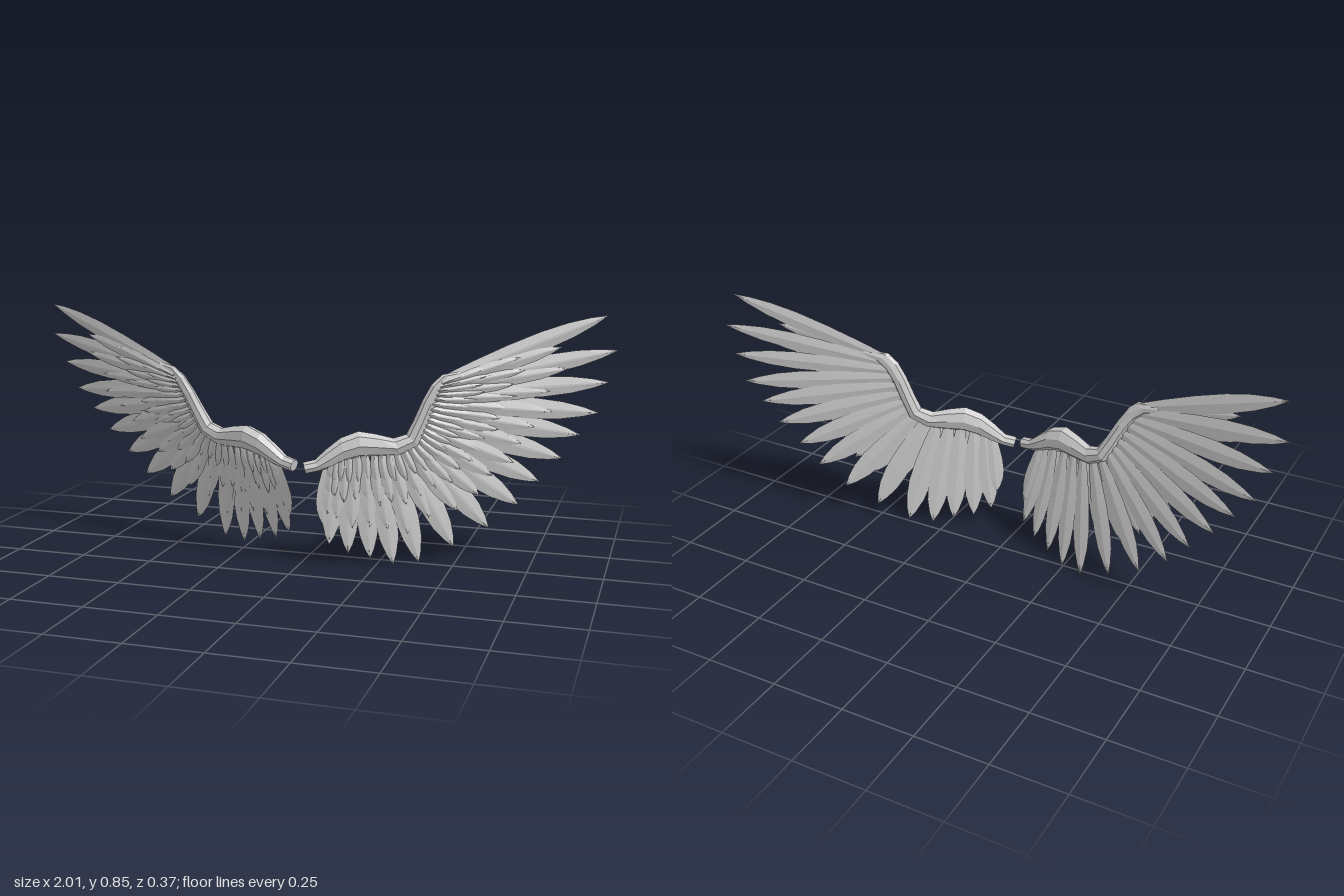
import * as THREE from 'three';

const V = (x, y, z = 0) => new THREE.Vector3(x, y, z);
const curve = (pts) => new THREE.CatmullRomCurve3(pts.map(([x, y]) => V(x, y)));

// Wing plane coordinates: x outwards, y up, z towards the front of the wing.
// Feather roots run from the wrist down and in along the arm; tips fan out.
const roots = curve([
  [0.455, 0.64], [0.445, 0.62], [0.435, 0.595], [0.425, 0.57], [0.415, 0.54], [0.405, 0.51],
  [0.395, 0.48], [0.38, 0.455], [0.36, 0.43], [0.33, 0.415], [0.29, 0.405], [0.25, 0.4],
  [0.21, 0.4], [0.165, 0.395], [0.13, 0.385], [0.105, 0.37]]);
const tips = curve([
  [0.965, 0.85], [1.0, 0.735], [0.975, 0.628], [0.945, 0.525], [0.89, 0.45], [0.835, 0.37],
  [0.765, 0.29], [0.7, 0.21], [0.607, 0.13], [0.495, 0.065], [0.385, 0.012], [0.303, 0.005],
  [0.23, 0.028], [0.16, 0.047], [0.1, 0.08], [0.082, 0.15]]);

// Layers from the long flight feathers to the small coverts on the front
const layers = [
  { name: 'flightFeather', count: 16, reach: 1, width: 0.037, lift: 0 },
  { name: 'longCovert', count: 17, reach: 0.7, width: 0.028, lift: 0.008 },
  { name: 'middleCovert', count: 22, reach: 0.46, width: 0.02, lift: 0.014 },
  { name: 'shortCovert', count: 26, reach: 0.27, width: 0.015, lift: 0.019 },
];

// Feather stations: distance along the feather, relative width
const blade = [[0, 0.4], [0.2, 0.72], [0.42, 0.95], [0.62, 1], [0.78, 0.82], [0.91, 0.45], [1, 0.04]];

// Arm stations: upper edge x, y, lower edge x, y, half thickness
const armStations = [
  [0.022, 0.368, 0.03, 0.328, 0.022],
  [0.06, 0.377, 0.068, 0.336, 0.023],
  [0.095, 0.412, 0.11, 0.35, 0.027],
  [0.14, 0.45, 0.15, 0.37, 0.031],
  [0.195, 0.472, 0.2, 0.383, 0.033],
  [0.25, 0.462, 0.26, 0.384, 0.03],
  [0.305, 0.447, 0.325, 0.388, 0.028],
  [0.345, 0.46, 0.385, 0.422, 0.026],
  [0.368, 0.51, 0.412, 0.485, 0.023],
  [0.395, 0.575, 0.44, 0.555, 0.02],
  [0.422, 0.627, 0.465, 0.6, 0.017],
  [0.455, 0.66, 0.495, 0.63, 0.013],
  [0.53, 0.672, 0.55, 0.65, 0.007],
];

// Placement of each wing; the right one is tipped further back along its lower edge
const leftPlace = new THREE.Matrix4().makeBasis(
  V(1, 0, -0.375), V(0, 1, 0.06), V(0.35, -0.056, 0.934)).setPosition(0, 0, 0.149);
const rightPlace = new THREE.Matrix4().makeBasis(
  V(-1, 0, -0.353), V(-0.08, 0.97, 0.255), V(-0.32, -0.265, 0.905)).setPosition(0.048, 0.018, 0.081);

// Closed skin over a row of equal rings, faces turned outwards
function loft(rings, place) {
  const n = rings[0].length;
  const pts = rings.flat().map((p) => p.clone().applyMatrix4(place));
  const tris = [];
  for (let i = 0; i < rings.length - 1; i++) {
    for (let j = 0; j < n; j++) {
      const a = i * n + j, b = i * n + (j + 1) % n;
      tris.push([a, b, b + n], [a, b + n, a + n]);
    }
  }
  const last = (rings.length - 1) * n;
  for (let j = 1; j < n - 1; j++) tris.push([0, j + 1, j], [last, last + j, last + j + 1]);
  const volume = tris.reduce((s, [a, b, c]) =>
    s + pts[a].clone().sub(pts[0]).dot(pts[b].clone().sub(pts[0]).cross(pts[c].clone().sub(pts[0]))), 0);
  const order = tris.flatMap(([a, b, c]) => (volume < 0 ? [a, c, b] : [a, b, c]));
  const geo = new THREE.BufferGeometry().setFromPoints(order.map((k) => pts[k]));
  geo.computeVertexNormals();
  return geo;
}

// Thin blade with a raised shaft line, tilted so neighbours overlap
function featherRings(from, to, width, lift) {
  const axis = to.clone().sub(from);
  const side = V(-axis.y, axis.x).normalize();
  return blade.map(([t, w]) => {
    const c = from.clone().addScaledVector(axis, t);
    c.z = lift * (1 - 0.3 * t);
    const h = width * w, thick = 0.002 + 0.006 * w * (1 - 0.5 * t);
    const at = (s, z) => c.clone().addScaledVector(side, s * h).add(V(0, 0, z - s * h * 0.09));
    return [at(1, 0), at(0.12, thick), at(-0.12, thick), at(-1, 0), at(0, -thick * 0.7)];
  });
}

// Eight-sided arm section between its upper and lower edge
function armRing([ux, uy, lx, ly, thick]) {
  const mid = V((ux + lx) / 2, (uy + ly) / 2, 0.004);
  const half = V((ux - lx) / 2, (uy - ly) / 2);
  return Array.from({ length: 8 }, (_, k) => {
    const a = (k / 8) * Math.PI * 2;
    return mid.clone().addScaledVector(half, Math.cos(a)).add(V(0, 0, Math.sin(a) * thick));
  });
}

function makeWing(name, place, material) {
  const wing = new THREE.Group();
  wing.name = name;
  const add = (part, rings) => {
    const mesh = new THREE.Mesh(loft(rings, place), material);
    mesh.name = part;
    wing.add(mesh);
  };
  add('wingArm', armStations.map(armRing));
  for (const { name: part, count, reach, width, lift } of layers) {
    for (let i = 0; i < count; i++) {
      // Coverts sit in the gaps between the flight feathers
      const t = reach === 1 ? i / (count - 1) : (i + 0.5) / count;
      const from = roots.getPoint(t);
      const vary = reach === 1 ? 1 : 1 + 0.05 * Math.sin(i * 2.4);
      const to = from.clone().lerp(tips.getPoint(t), reach * vary);
      // Feathers are broadest in the middle of the fan
      const broad = 0.82 + 0.22 * Math.sin(Math.PI * t);
      add(part, featherRings(from, to, width * broad, lift));
    }
  }
  return wing;
}

export function createModel() {
  const material = new THREE.MeshStandardMaterial({ color: 0xcccccc, flatShading: true });
  const model = new THREE.Group();
  model.name = 'wings';
  model.add(makeWing('leftWing', leftPlace, material), makeWing('rightWing', rightPlace, material));
  return model;
}
